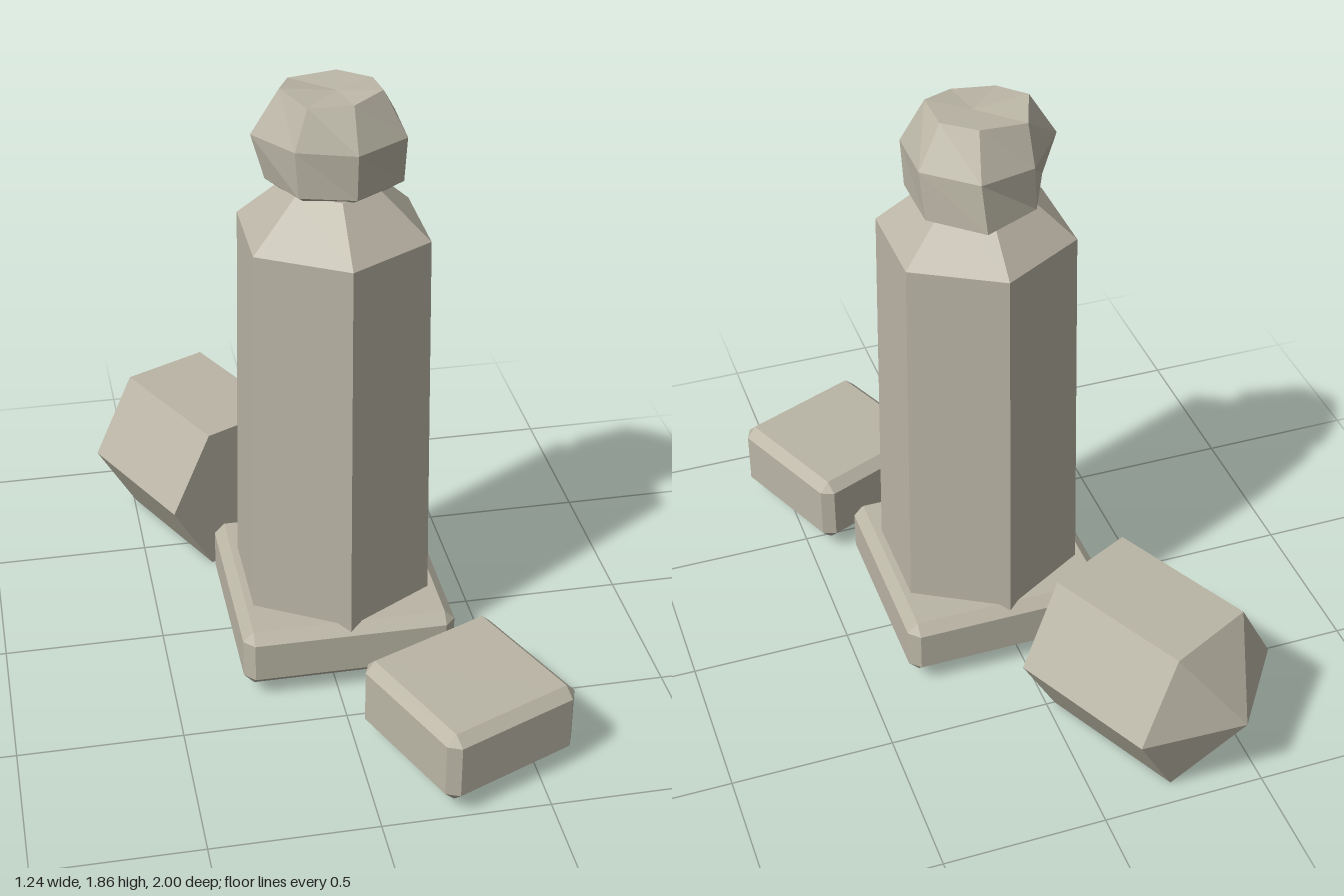
import * as THREE from 'three';
import { ConvexGeometry } from 'three/addons/geometries/ConvexGeometry.js';

const stone = new THREE.MeshStandardMaterial({ color: 0xbab5a5, flatShading: true });
stone.name = 'stone';

function part(name, geometry, x, y, z) {
  const mesh = new THREE.Mesh(geometry, stone);
  mesh.name = name;
  mesh.position.set(x, y, z);
  return mesh;
}

// box with every edge and corner cut flat
function chamferBox(w, h, d, c) {
  const points = [];
  for (const sx of [-1, 1]) for (const sy of [-1, 1]) for (const sz of [-1, 1]) {
    const x = w / 2, y = h / 2, z = d / 2;
    points.push(
      new THREE.Vector3(sx * x, sy * (y - c), sz * (z - c)),
      new THREE.Vector3(sx * (x - c), sy * y, sz * (z - c)),
      new THREE.Vector3(sx * (x - c), sy * (y - c), sz * z));
  }
  return new ConvexGeometry(points);
}

// six-sided solid from a profile of [radius, height], listed upwards
function hexSolid(profile, start = 0) {
  return new THREE.LatheGeometry(profile.map(([r, y]) => new THREE.Vector2(r, y)), 6, start);
}

// closed rock: rings of [x, y, z] from top to bottom, capped by two poles
function rock(rings, top, bottom) {
  const n = rings[0].length, position = [];
  const tri = (a, b, c) => position.push(...a, ...b, ...c);
  for (let i = 0; i < n; i++) {
    const j = (i + 1) % n;
    tri(top, rings[0][i], rings[0][j]);
    for (let k = 0; k < rings.length - 1; k++) {
      const u = rings[k], l = rings[k + 1];
      tri(u[i], l[i], l[j]);
      tri(u[i], l[j], u[j]);
    }
    const last = rings[rings.length - 1];
    tri(bottom, last[j], last[i]);
  }
  const geometry = new THREE.BufferGeometry();
  geometry.setAttribute('position', new THREE.Float32BufferAttribute(position, 3));
  geometry.computeVertexNormals();
  return geometry;
}

export function createModel() {
  const model = new THREE.Group();
  model.name = 'stonePillar';

  // square plinth and tapering hexagonal shaft
  model.add(part('plinth', chamferBox(0.66, 0.19, 0.66, 0.032), 0.04, 0.135, 0.04));
  model.add(part('shaft', hexSolid([
    [0, 0.2], [0.319, 0.2], [0.298, 1.43], [0.14, 1.57], [0, 1.57],
  ]), 0.04, 0, 0.042));

  // rough seven-sided boulder on top
  const crown = [[-0.11, 1.86, 0.015], [-0.05, 1.84, 0.125], [0.08, 1.845, 0.14], [0.175, 1.86, 0.08],
    [0.17, 1.85, -0.04], [0.08, 1.85, -0.115], [-0.065, 1.84, -0.105]];
  const middle = [[-0.193, 1.725, 0.01], [-0.09, 1.72, 0.15], [0.08, 1.72, 0.207], [0.24, 1.725, 0.115],
    [0.245, 1.73, -0.08], [0.1, 1.72, -0.19], [-0.07, 1.72, -0.15]];
  const lower = [[-0.155, 1.59, 0.02], [-0.08, 1.58, 0.15], [0.08, 1.58, 0.195], [0.235, 1.585, 0.1],
    [0.235, 1.585, -0.1], [0.09, 1.575, -0.215], [-0.08, 1.58, -0.14]];
  const foot = lower.map(([x, y, z]) => [0.04 + (x - 0.04) * 0.65, 1.535, z * 0.65]);
  model.add(part('boulder', rock([crown, middle, lower, foot], [0.055, 1.842, 0.015], [0.04, 1.53, 0]), 0, 0, 0));

  // loose block lying in front
  const block = part('fallenBlock', chamferBox(0.462, 0.235, 0.465, 0.032), 0.323, 0.157, 0.705);
  block.rotation.y = 0.4;
  model.add(block);

  // fallen hexagonal drum with a pointed end, lying behind
  const drum = part('fallenDrum', hexSolid([
    [0, 0], [0.2887, 0], [0.2887, 0.475], [0, 0.63],
  ], Math.PI / 6), -0.156, 0.25, -0.437);
  drum.rotation.set(-Math.PI / 2, 0.458, 0, 'YXZ');
  model.add(drum);

  return model;
}
